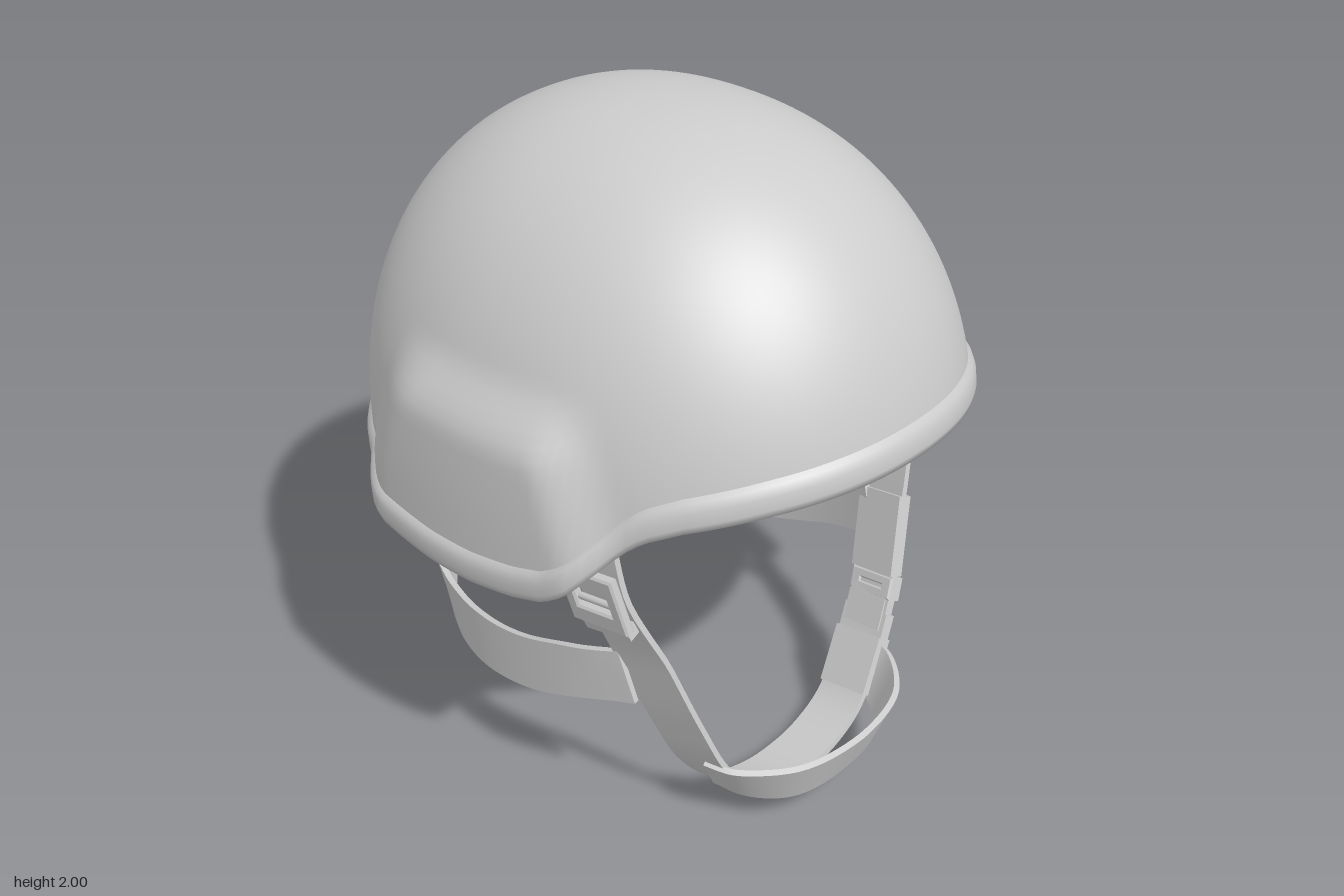
import * as THREE from 'three';
import { toCreasedNormals } from 'three/addons/utils/BufferGeometryUtils.js';

const V = (x, y, z) => new THREE.Vector3(x, y, z);
const { smoothstep, lerp } = THREE.MathUtils;
const material = new THREE.MeshStandardMaterial({ color: 0xcccccc, side: THREE.DoubleSide });
const SEG = 192, BASE = 1.05, LIP = 0.095;

// Skin over a stack of closed rings, each counter-clockwise about the stacking direction
function loft(rings, caps = false) {
  const n = rings[0].length, index = [];
  for (let i = 0; i < rings.length - 1; i++) {
    for (let j = 0; j < n; j++) {
      const k = (j + 1) % n, a = i * n + j, b = i * n + k;
      index.push(a, b, b + n, a, b + n, a + n);
    }
  }
  if (caps) {
    const e = (rings.length - 1) * n;
    index.push(0, 2, 1, 0, 3, 2, e, e + 1, e + 2, e, e + 2, e + 3);
  }
  const g = new THREE.BufferGeometry().setFromPoints(rings.flat());
  g.setIndex(index);
  g.computeVertexNormals();
  return g;
}

function part(name, geometry) {
  const mesh = new THREE.Mesh(geometry, material);
  mesh.name = name;
  return mesh;
}

// Height of the lower edge along the length of the helmet
const EDGE = [[-0.95, 0.91], [-0.6, 0.925], [-0.46, 0.92], [-0.32, 0.89], [-0.1, 0.88], [0.05, 0.885], [0.2, 0.905],
  [0.3, 0.93], [0.37, 0.975], [0.42, 1.035], [0.47, 1.1], [0.52, 1.143], [0.6, 1.18], [0.75, 1.225], [0.95, 1.275]];
function edgeY(z) {
  const i = Math.max(1, EDGE.findIndex(e => e[0] >= z));
  const [z0, y0] = EDGE[i - 1], [z1, y1] = EDGE[i];
  return lerp(y0, y1, (z - z0) / (z1 - z0));
}

// Dome surface at a compass angle and height, with a soft bulge over the ears
function dome(phi, y, inset = 0) {
  const s = Math.sin(phi), c = Math.cos(phi);
  const h = Math.min(1, Math.max(0, (y - BASE) / (0.95 - inset)));
  const n = 2.13 + 0.11 * c * c, m = 2.13;
  const r = Math.pow(1 - Math.pow(h, n), 1 / n) / Math.pow(Math.abs(s) ** m + Math.abs(c) ** m, 1 / m);
  const z = ((c > 0 ? 0.9 : 0.88) - inset) * r * c;
  const rise = Math.max(0, y - BASE);
  const front = 0.5 - 0.35 * rise, back = -0.53 + 0.45 * rise;
  const mask = (1 - smoothstep(y, 1.31, 1.48)) * (1 - smoothstep(z, front - 0.15, front)) * smoothstep(z, back, back + 0.22);
  const bulge = 0.805 - 0.25 * z * z - 0.15 * rise * rise - inset;
  const x = (0.765 - inset) * r * Math.abs(s);
  return V(Math.sign(s) * lerp(x, Math.max(x, bulge), mask), y, z);
}

const angles = Array.from({ length: SEG }, (_, i) => (i / SEG) * Math.PI * 2);
const edges = angles.map(phi => {
  let y = 1;
  for (let i = 0; i < 40; i++) y = lerp(y, edgeY(dome(phi, y).z), 0.5);
  return y;
});

function shell(inset, rows) {
  const top = 2 - inset, rings = [];
  for (let i = 0; i <= rows; i++) {
    const v = Math.sin((i / rows) * Math.PI / 2);
    rings.push(angles.map((phi, j) => dome(phi, lerp(edges[j] + 0.05, top, v), inset)));
  }
  return rings;
}

// Rolled trim: [share towards the inside, outward swell, height above the edge]
function rim() {
  const section = [[0.2, 0, 0.11], [0.85, 0, 0.105], [1, 0, 0.085], [1, 0, 0.035], [0.85, 0, 0.008], [0.3, 0, 0], [0, 0.008, 0.008],
    [0, 0.016, 0.03], [0, 0.017, 0.065], [0, 0.012, 0.09], [0, -0.004, 0.103]];
  return loft(section.map(([t, out, up]) => angles.map((phi, j) => {
    const y = edges[j] + up;
    const p = dome(phi, y).lerp(dome(phi, y, LIP), t);
    return p.addScaledVector(V(Math.sin(phi) / 0.77, 0, Math.cos(phi) / 0.89).normalize(), out);
  })));
}

// Flat webbing along a curve; sides gives the width direction at each point
function webbing(name, points, sides, width, thick, steps = 40) {
  const path = new THREE.CatmullRomCurve3(points);
  const rings = [];
  for (let i = 0; i <= steps; i++) {
    const u = i / steps, f = u * (points.length - 1);
    const k = Math.min(points.length - 2, Math.floor(f));
    const t = path.getTangent(u);
    const w = sides[k].clone().lerp(sides[k + 1], f - k);
    w.addScaledVector(t, -w.dot(t)).normalize();
    const n = t.clone().cross(w);
    const p = path.getPoint(u);
    rings.push([[1, 1], [-1, 1], [-1, -1], [1, -1]].map(([a, b]) =>
      p.clone().addScaledVector(w, a * width / 2).addScaledVector(n, b * thick / 2)));
  }
  return part(name, toCreasedNormals(loft(rings, true), 0.7));
}

// Rectangular plate with a rectangular slot
function frame(w, h, slotW, slotH, depth) {
  const rect = (o, a, b) => o.moveTo(-a / 2, -b / 2).lineTo(a / 2, -b / 2).lineTo(a / 2, b / 2).lineTo(-a / 2, b / 2);
  const shape = rect(new THREE.Shape(), w, h);
  shape.holes.push(rect(new THREE.Path(), slotW, slotH));
  const g = new THREE.ExtrudeGeometry(shape, { depth, bevelEnabled: true, bevelSize: 0.006, bevelThickness: 0.006, bevelSegments: 1 });
  return g.translate(0, 0, -depth / 2);
}

export function createModel() {
  const model = new THREE.Group();
  model.name = 'helmet';
  model.add(part('outerShell', loft(shell(0, 48))));
  model.add(part('innerShell', loft(shell(0.018, 48).reverse())));
  model.add(part('rimTrim', rim()));

  // Long strap down both sides and under the chin, its front edge turned inwards along the cheeks
  const across = p => V(-0.4 * p.x * (1 - smoothstep(p.y, 0.6, 0.9)), 0.163, 0.986);
  const chinPoints = [[-0.64, 1.1, 0.33], [-0.62, 0.9, 0.365], [-0.53, 0.65, 0.415], [-0.44, 0.4, 0.46], [-0.36, 0.22, 0.49],
    [-0.24, 0.085, 0.51], [-0.12, 0.038, 0.518], [0, 0.026, 0.52], [0.12, 0.038, 0.518], [0.25, 0.095, 0.51],
    [0.37, 0.24, 0.485], [0.46, 0.4, 0.46], [0.55, 0.63, 0.415], [0.625, 0.9, 0.365], [0.64, 1.1, 0.33]].map(p => V(...p));
  model.add(webbing('chinStrap', chinPoints, chinPoints.map(across), 0.165, 0.018, 80));

  // Band across the front of the chin
  const half = [[0.35, 0.19, 0.5], [0.325, 0.187, 0.59], [0.21, 0.185, 0.705]];
  const lean = [[0.5, 0.85, 0.1], [0.45, 0.87, 0.15], [0.2, 0.93, 0.3]];
  const span = (list, mid) => [...list.map(([x, y, z]) => V(-x, y, z)), V(...mid), ...[...list].reverse().map(p => V(...p))];
  model.add(webbing('chinBand', span(half, [0, 0.185, 0.745]), span(lean, [0, 0.93, 0.36]), 0.155, 0.018));

  // Padded band behind the neck
  const pad = span([[0.44, 0.625, -0.645], [0.3, 0.62, -0.68], [0.15, 0.615, -0.705]], [0, 0.612, -0.715]);
  model.add(webbing('napePad', pad, pad.map(() => V(0, 0.97, -0.25)), 0.215, 0.055));

  // Places hardware on the chin strap at a given height
  const path = new THREE.CatmullRomCurve3(chinPoints);
  function onStrap(mesh, side, y, out = 0) {
    let u = 0.5;
    while (u < 1 && path.getPoint(side > 0 ? u : 1 - u).y < y) u += 0.002;
    const v = side > 0 ? u : 1 - u;
    const p = path.getPoint(v), w = across(p);
    const t = path.getTangent(v).multiplyScalar(side);
    w.addScaledVector(t, -w.dot(t)).normalize();
    const n = w.clone().cross(t);
    mesh.quaternion.setFromRotationMatrix(new THREE.Matrix4().makeBasis(w, t, n));
    mesh.position.copy(p).addScaledVector(n, n.x * side > 0 ? out : -out);
    model.add(mesh);
  }

  for (const side of [-1, 1]) {
    // Strap from the cheek around the jaw, twisting up into the back of the rim
    const run = [[0.545, 0.585, 0.37], [0.575, 0.53, 0.2], [0.575, 0.455, 0], [0.545, 0.405, -0.2], [0.49, 0.382, -0.37], [0.42, 0.39, -0.51],
      [0.345, 0.455, -0.61], [0.31, 0.57, -0.66], [0.31, 0.72, -0.7], [0.31, 0.85, -0.718], [0.31, 0.97, -0.73]];
    const twist = [[0, 1, 0.15], [0, 1, 0.3], [0, 1, 0.2], [0, 1, 0.1], [0.05, 1, 0], [0.25, 0.9, 0.1],
      [0.7, 0.6, 0.2], [0.95, 0.15, 0.25], [0.95, 0, 0.3], [0.95, 0, 0.38], [0.95, 0, 0.4]];
    const flip = list => list.map(([x, y, z]) => V(x * side, y, z));
    model.add(webbing(side > 0 ? 'leftNapeStrap' : 'rightNapeStrap', flip(run), flip(twist), 0.17, 0.018, 60));

    // Adjuster hanging from the shell
    onStrap(part('adjusterFrame', frame(0.19, 0.17, 0.135, 0.08, 0.018)), side, 0.91, 0.036);
    onStrap(part('adjusterTab', new THREE.BoxGeometry(0.16, 0.04, 0.035)), side, 0.82, 0.028);
    onStrap(part('adjusterBar', new THREE.CylinderGeometry(0.01, 0.01, 0.17, 8).rotateZ(Math.PI / 2)), side, 0.9, 0.032);
  }

  // Sleeve and release buckle on the left side only
  onStrap(part('strapSleeve', new THREE.BoxGeometry(0.175, 0.25, 0.045)), 1, 0.54);
  onStrap(part('buckleLadder', frame(0.16, 0.06, 0.1, 0.02, 0.04)), 1, 0.395, 0.012);
  onStrap(part('buckleBody', new THREE.BoxGeometry(0.145, 0.12, 0.045)), 1, 0.33, 0.008);
  for (const e of [-1, 1]) {
    const prong = part('buckleProng', new THREE.BoxGeometry(0.025, 0.08, 0.035).translate(e * 0.075, 0, 0));
    onStrap(prong, 1, 0.29, 0.008);
  }
  onStrap(part('buckleSocket', new THREE.BoxGeometry(0.178, 0.18, 0.05)), 1, 0.185, 0.006);
  return model;
}
